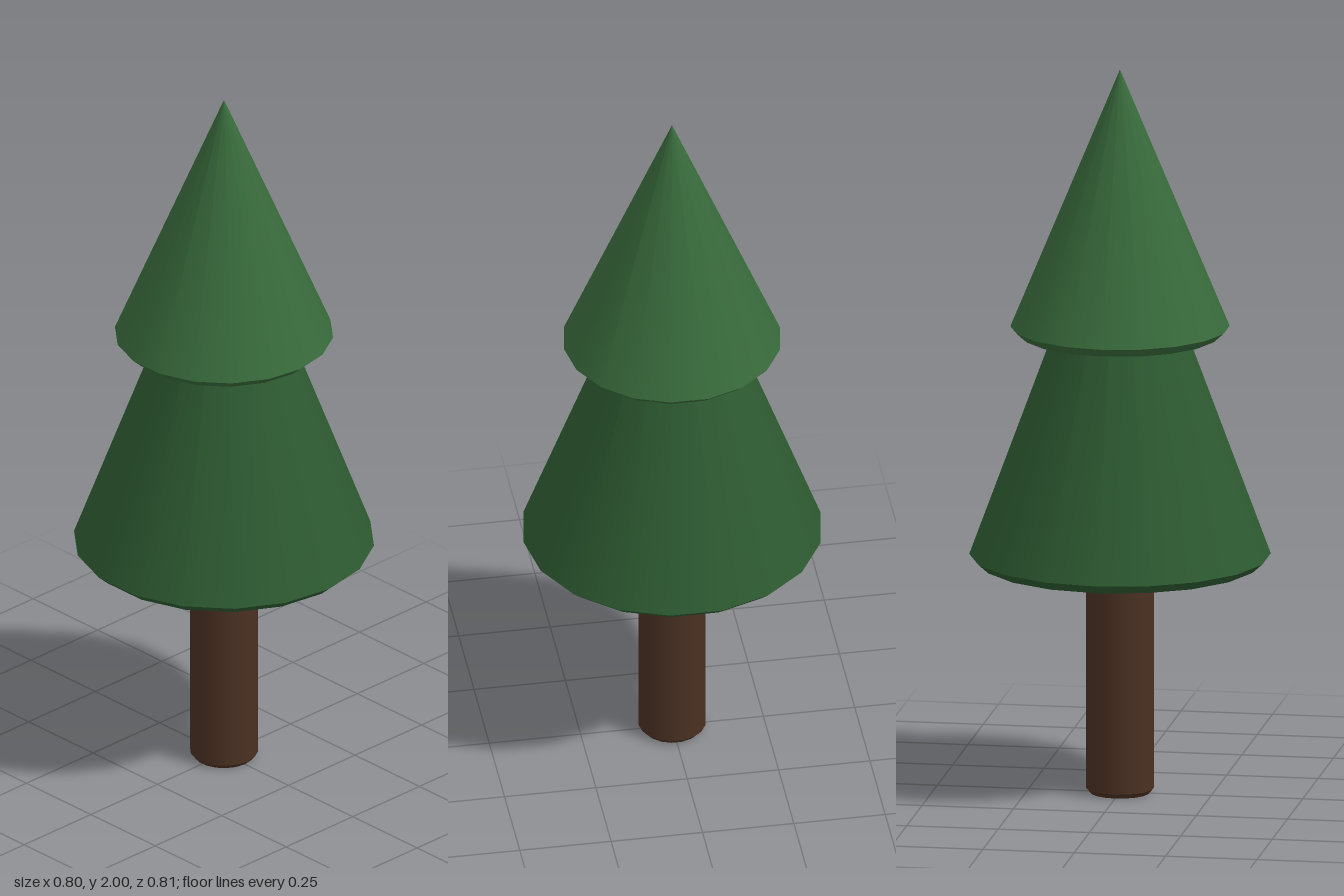
import * as THREE from 'three';
import { mergeGeometries } from 'three/addons/utils/BufferGeometryUtils.js';

const SIDES = 18;

// Each profile (bottom to top, [radius, y]) is smooth; edges between profiles stay sharp.
function turned(name, color, ...profiles) {
  const pieces = profiles.map((profile) =>
    new THREE.LatheGeometry(profile.map(([r, y]) => new THREE.Vector2(r, y)), SIDES));
  const mesh = new THREE.Mesh(mergeGeometries(pieces), new THREE.MeshStandardMaterial({ color }));
  mesh.name = name;
  return mesh;
}

// Cone of foliage with a bevelled rim and a closed underside.
function foliage(name, color, radius, bottom, apex) {
  const rim = bottom + 0.025;
  const inner = radius - 0.028;
  return turned(name, color,
    [[0, bottom], [inner - 0.02, bottom], [inner, bottom], [radius, rim]],
    [[radius, rim], [0, apex]]);
}

export function createModel() {
  const tree = new THREE.Group();
  tree.name = 'tree';

  // Trunk with a small bevel at the foot, ending inside the foliage
  tree.add(turned('trunk', 0x4a3022,
    [[0, 0], [0.081, 0]],
    [[0.081, 0], [0.092, 0.013]],
    [[0.092, 0.013], [0.092, 0.66]],
    [[0.092, 0.66], [0, 0.66]]));

  tree.add(foliage('lowerFoliage', 0x2d5a31, 0.407, 0.635, 1.76));
  tree.add(foliage('upperFoliage', 0x386a3b, 0.296, 1.265, 2));
  return tree;
}
